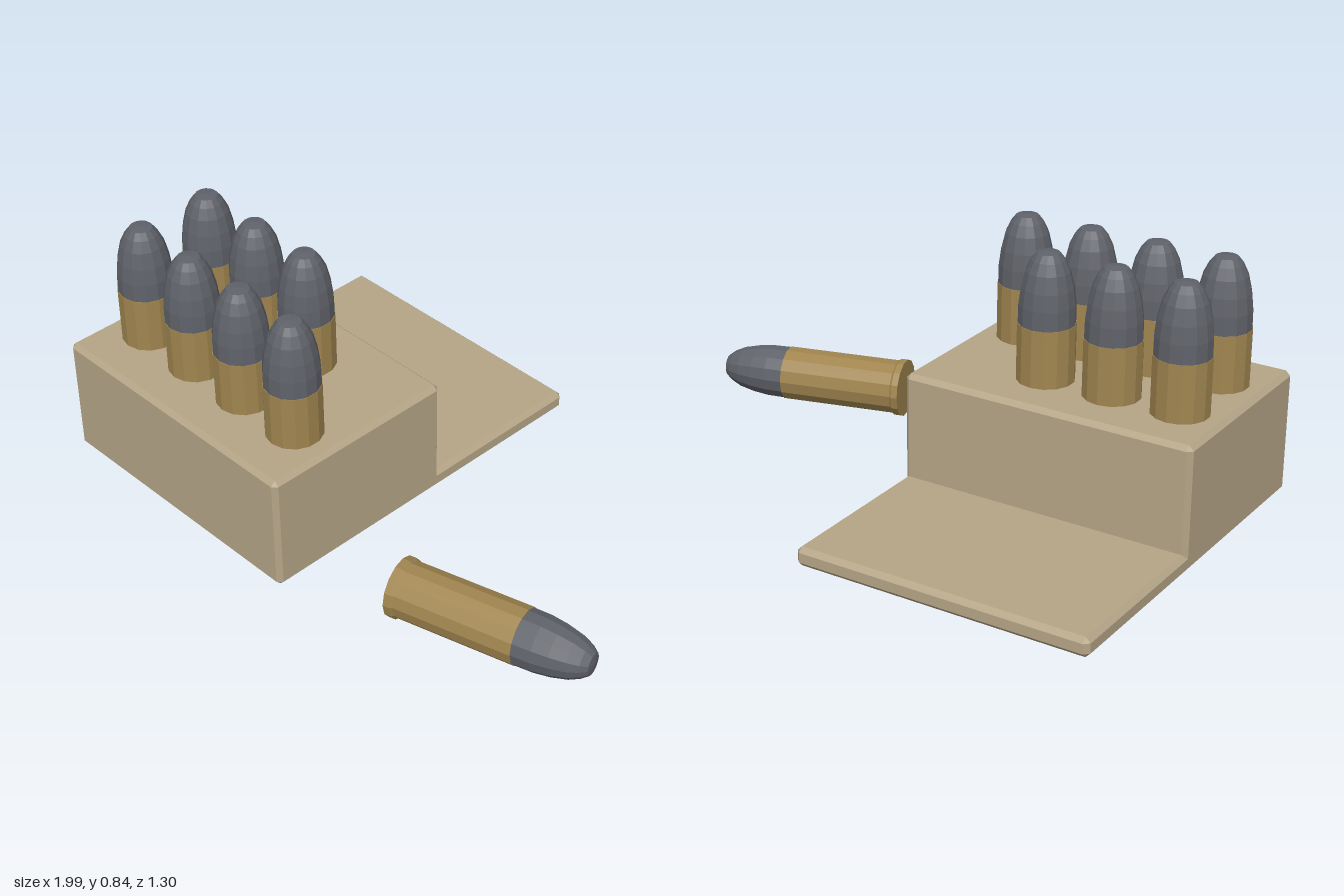
import * as THREE from 'three';
import { ConvexGeometry } from 'three/addons/geometries/ConvexGeometry.js';

const SIDES = 14;

function material(name, color) {
  const m = new THREE.MeshStandardMaterial({ color, flatShading: true });
  m.name = name;
  return m;
}

// Box with every edge chamfered by c, given by its min and max corners
function chamferBox(min, max, c) {
  const points = [];
  const at = (i, s, inset) => (s < 0 ? min[i] + inset : max[i] - inset);
  for (const sx of [-1, 1]) for (const sy of [-1, 1]) for (const sz of [-1, 1]) {
    points.push(new THREE.Vector3(at(0, sx, 0), at(1, sy, c), at(2, sz, c)));
    points.push(new THREE.Vector3(at(0, sx, c), at(1, sy, 0), at(2, sz, c)));
    points.push(new THREE.Vector3(at(0, sx, c), at(1, sy, c), at(2, sz, 0)));
  }
  return new ConvexGeometry(points);
}

function lathe(profile) {
  return new THREE.LatheGeometry(profile.map(([r, y]) => new THREE.Vector2(r, y)), SIDES);
}

export function createModel() {
  const model = new THREE.Group();
  model.name = 'cartridgeBox';
  const card = material('cardboard', 0xb5a587);
  const brass = material('brass', 0xa0854f);
  const lead = material('lead', 0x5f6269);

  const addMesh = (parent, geometry, mat, name) => {
    const mesh = new THREE.Mesh(geometry, mat);
    mesh.name = name;
    parent.add(mesh);
  };

  // Carton and its open flap lying on the ground behind
  addMesh(model, chamferBox([-1, 0, -0.055], [0.01, 0.42, 0.65], 0.016), card, 'carton');
  addMesh(model, chamferBox([-1, 0, -0.65], [0.01, 0.065, 0.04], 0.016), card, 'flap');

  // Cartridge parts, standing along +y from the base
  const caseGeo = lathe([[0, 0], [0.1, 0], [0.1, 0.022], [0.094, 0.03], [0.094, 0.433], [0.09, 0.433]]);
  const bulletGeo = lathe([[0.092, 0.43], [0.091, 0.495], [0.084, 0.55], [0.071, 0.604],
    [0.054, 0.64], [0.037, 0.662], [0, 0.667]]);
  const addCartridge = (x, y, z, name) => {
    const cartridge = new THREE.Group();
    cartridge.name = name;
    addMesh(cartridge, caseGeo, brass, 'case');
    addMesh(cartridge, bulletGeo, lead, 'bullet');
    cartridge.position.set(x, y, z);
    model.add(cartridge);
    return cartridge;
  };

  // Two rows in the carton, the back one missing its last cartridge
  [[0.43, 4], [0.16, 3]].forEach(([z, count]) => {
    for (let i = 0; i < count; i++) addCartridge(-0.852 + i * 0.236, 0.178, z, 'boxedCartridge');
  });

  // Loose cartridge lying beside the carton
  const loose = addCartridge(0.346, 0.105, 0.455, 'looseCartridge');
  loose.rotation.set(0, 0.265, -Math.PI / 2);

  return model;
}
